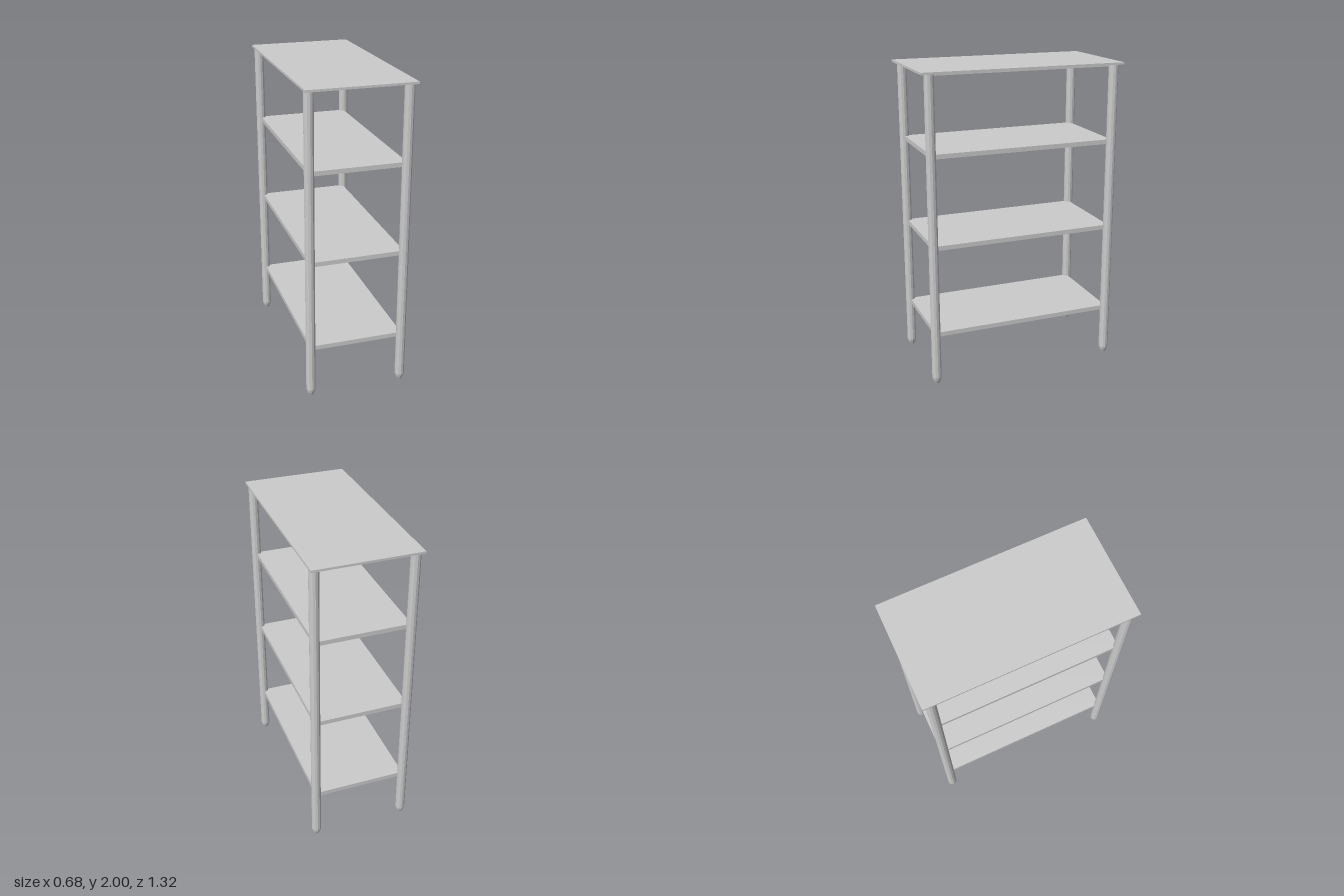
import * as THREE from 'three';

const LEG_X = 0.303, LEG_Z = 0.604, LEG_R = 0.031;

export function createModel() {
  const group = new THREE.Group();
  const material = new THREE.MeshStandardMaterial({ color: 0xcccccc, flatShading: true });

  const add = (name, geometry, x, y, z) => {
    const mesh = new THREE.Mesh(geometry, material);
    mesh.name = name;
    mesh.position.set(x, y, z);
    group.add(mesh);
  };

  // A horizontal board given by its size and the height of its upper face
  const board = (name, width, depth, thickness, top) =>
    add(name, new THREE.BoxGeometry(width, thickness, depth), 0, top - thickness / 2, 0);

  // Overhanging top and the panel beneath it
  board('topBoard', 0.676, 1.32, 0.014, 2);
  board('topPanel', LEG_X * 2, LEG_Z * 2, 0.012, 1.986);

  // Three shelves let into the legs
  [0.346, 0.926, 1.506].forEach((top, i) =>
    board(`shelf${i + 1}`, LEG_X * 2, LEG_Z * 2, 0.029, top));

  // Faceted round legs with tapered feet
  const legProfile = [
    [0, 0], [0.017, 0], [0.026, 0.02], [LEG_R, 0.04], [LEG_R, 1.986], [0, 1.986],
  ].map(([r, y]) => new THREE.Vector2(r, y));
  const legGeometry = new THREE.LatheGeometry(legProfile, 12);
  for (const [xSide, xName] of [[1, 'Left'], [-1, 'Right']]) {
    for (const [zSide, zName] of [[1, 'front'], [-1, 'back']]) {
      add(`${zName}${xName}Leg`, legGeometry, xSide * LEG_X, 0, zSide * LEG_Z);
    }
  }

  return group;
}
